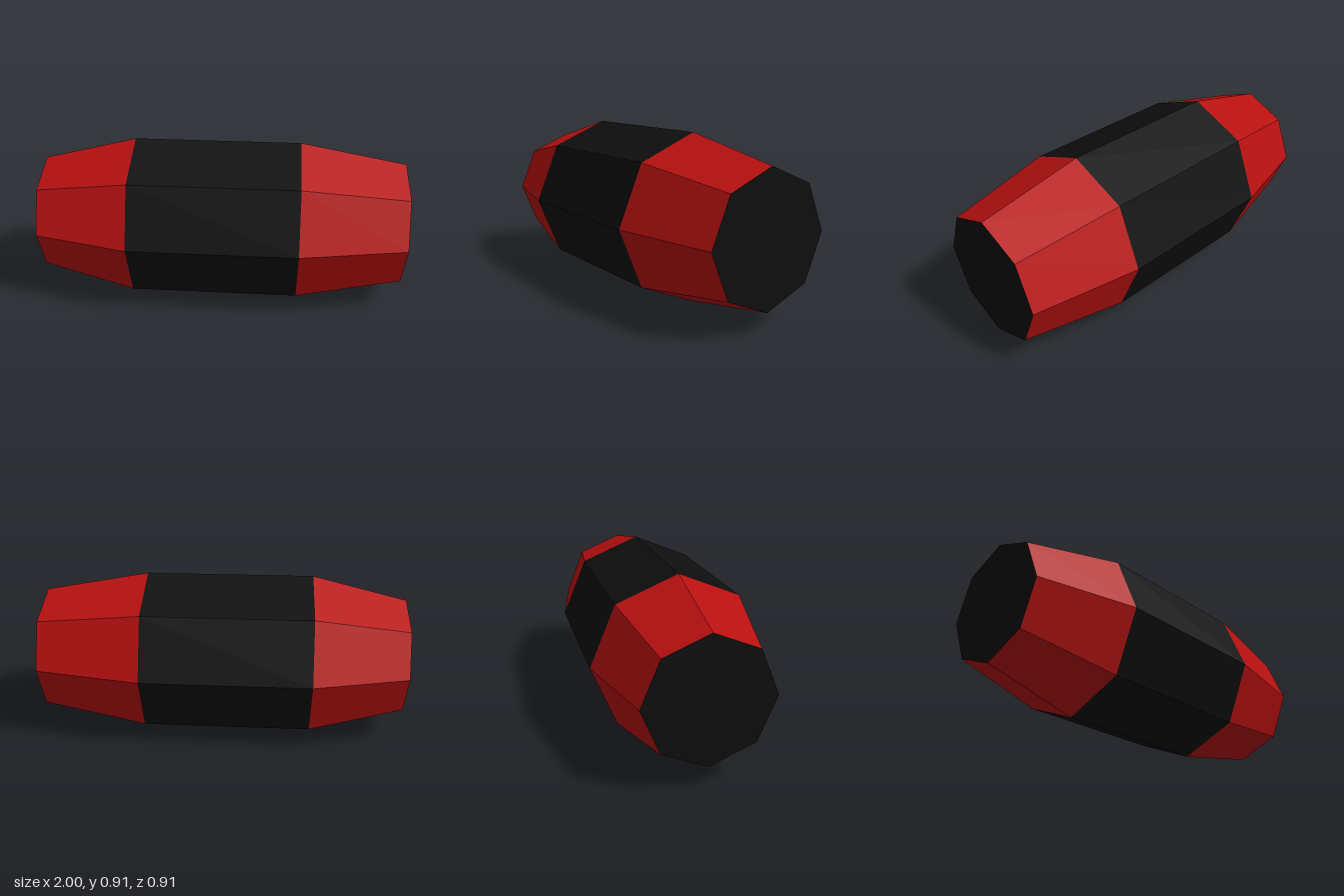
import * as THREE from 'three';

export function createModel() {
  const group = new THREE.Group();
  const red = new THREE.MeshStandardMaterial({ color: 0xb81010, flatShading: true });
  red.name = 'red';
  const black = new THREE.MeshStandardMaterial({ color: 0x0e0e0e, flatShading: true });
  black.name = 'black';

  const sides = 8;
  const radius = 0.455; // also the height of the long axis
  const bandLeft = 0.425, bandRight = -0.485;
  const endLeft = 0.348, endRight = 0.327;

  const add = (name, geometry, material, x) => {
    const mesh = new THREE.Mesh(geometry, material);
    mesh.name = name;
    mesh.position.set(x, radius, 0);
    group.add(mesh);
  };

  // Eight-sided open section along x, from x0 to x1
  const section = (name, x0, r0, x1, r1, material) => {
    const geometry = new THREE.CylinderGeometry(r1, r0, x1 - x0, sides, 1, true);
    geometry.rotateZ(-Math.PI / 2);
    add(name, geometry, material, (x0 + x1) / 2);
  };

  // Flat end disc facing along side * x
  const cap = (name, r, side) => {
    const geometry = new THREE.CircleGeometry(r, sides);
    geometry.rotateY(side * Math.PI / 2);
    add(name, geometry, black, side);
  };

  section('rightTaper', -1, endRight, bandRight, radius, red);
  section('middleBand', bandRight, radius, bandLeft, radius, black);
  section('leftTaper', bandLeft, radius, 1, endLeft, red);
  cap('rightEndCap', endRight, -1);
  cap('leftEndCap', endLeft, 1);

  return group;
}
